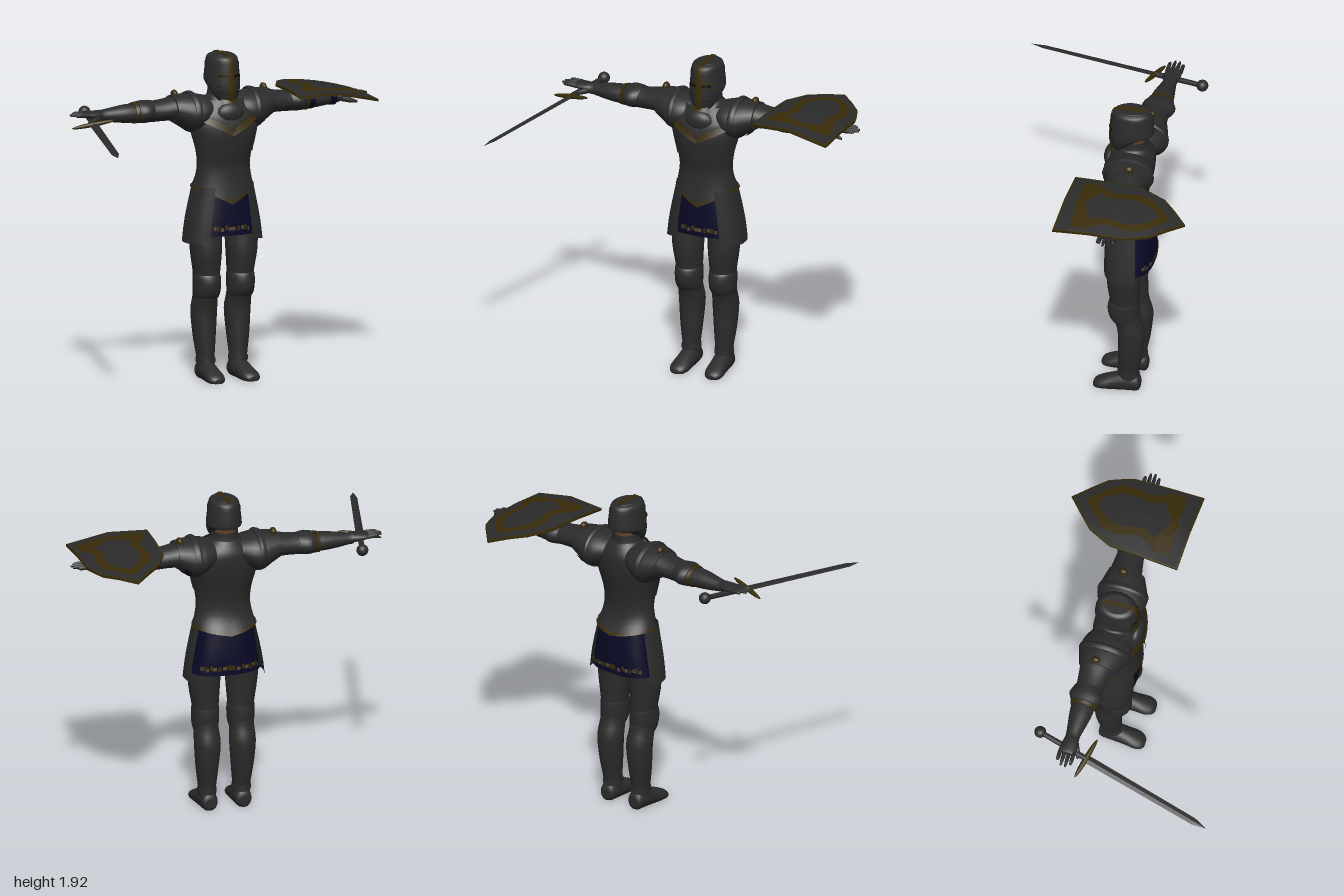
import * as THREE from 'three';

const paint = (name, color) => {
  const m = new THREE.MeshStandardMaterial({ color, side: THREE.DoubleSide });
  m.name = name;
  return m;
};
const steel = paint('dark steel', 0x2b2b2b);
const gold = paint('dark gold', 0x382b07);
const navy = paint('navy cloth', 0x080826);
const skin = paint('skin', 0x5c3f2a);
const black = paint('black', 0x0b0b0b);
const tan = paint('tan embroidery', 0x58462f);

const add = (parent, name, geo, mat) => {
  const m = new THREE.Mesh(geo, mat);
  m.name = name;
  parent.add(m);
  return m;
};
const mirror = (geo) => {
  const g = geo.clone().scale(-1, 1, 1), ix = g.index.array;
  for (let i = 0; i < ix.length; i += 3) [ix[i], ix[i + 1]] = [ix[i + 1], ix[i]];
  return g;
};
const pair = (parent, name, geo, mat) => {
  add(parent, name + 'Left', geo, mat);
  add(parent, name + 'Right', mirror(geo), mat);
};
const clamp = THREE.MathUtils.clamp;

const catmull = (a, b, c, d, t) =>
  0.5 * (2 * b + (c - a) * t + (2 * a - 5 * b + 4 * c - d) * t * t + (3 * b - a - 3 * c + d) * t * t * t);

// Skin of elliptical sections [t, c1, c2, r1, r2] along an axis.
// (c1, c2) run along (x, z) for axis y, (z, y) for axis x and (y, x) for axis z.
function loft(secs, { axis = 'y', n = 24, p = 2, arc = null, steps = 3, cap = !arc, warp = null } = {}) {
  const rows = [];
  secs.forEach((s, i) => {
    if (i === secs.length - 1) return rows.push(s);
    const a = secs[Math.max(i - 1, 0)], c = secs[i + 1], d = secs[Math.min(i + 2, secs.length - 1)];
    for (let k = 0; k < steps; k++) rows.push(s.map((b, j) => catmull(a[j], b, c[j], d[j], k / steps)));
  });
  const [a0, a1] = arc || [0, Math.PI * 2], cols = arc ? n + 1 : n;
  const pos = [], idx = [];
  const put = (t, u, v) => pos.push(...(axis === 'y' ? [u, t, v] : axis === 'x' ? [t, v, u] : [v, u, t]));
  const ring = ([t, c1, c2, r1, r2]) => {
    for (let j = 0; j < cols; j++) {
      const a = a0 + (a1 - a0) * j / n, c = Math.cos(a), s = Math.sin(a);
      put(t, c1 + r1 * Math.sign(c) * Math.abs(c) ** (2 / p), c2 + r2 * Math.sign(s) * Math.abs(s) ** (2 / p));
    }
  };
  rows.forEach(ring);
  for (let i = 0; i < rows.length - 1; i++) for (let j = 0; j < n; j++) {
    const k = (j + 1) % cols, A = i * cols + j, B = i * cols + k;
    idx.push(A, A + cols, B, B, A + cols, B + cols);
  }
  if (cap) [rows[0], rows[rows.length - 1]].forEach((r, e) => {
    const o = pos.length / 3;
    ring(r);
    put(r[0], r[1], r[2]);
    for (let j = 0; j < n; j++) {
      const A = o + j, B = o + (j + 1) % n;
      idx.push(o + n, ...(e ? [B, A] : [A, B]));
    }
  });
  const g = new THREE.BufferGeometry();
  g.setAttribute('position', new THREE.Float32BufferAttribute(pos, 3));
  g.setIndex(idx);
  if (warp) {
    const P = g.attributes.position;
    for (let i = 0; i < P.count; i++) P.setY(i, warp(P.getX(i), P.getY(i), P.getZ(i)));
  }
  g.computeVertexNormals();
  return g;
}

// Thin piece lying just over part of a lofted surface, between heights y0 and y1
function patch(secs, y0, y1, a0, a1, grow, opt = {}) {
  const at = (y) => {
    let i = 0;
    while (i < secs.length - 2 && secs[i + 1][0] < y) i++;
    const k = (y - secs[i][0]) / (secs[i + 1][0] - secs[i][0]);
    return secs[i].map((v, j) => v + (secs[i + 1][j] - v) * k);
  };
  const mid = secs.filter((s) => s[0] > y0 + 0.005 && s[0] < y1 - 0.005);
  const rows = [at(y0), ...mid, at(y1)].map(([y, x, z, rx, rz]) => [y, x, z, rx + grow, rz + grow]);
  return loft(rows, { arc: [a0, a1], n: 16, steps: 2, ...opt });
}

function makeTorso(body) {
  const T = [[1.14, 0, -0.19, 0.188, 0.15], [1.2, 0, -0.175, 0.172, 0.12], [1.27, 0, -0.17, 0.162, 0.11],
    [1.36, 0, -0.165, 0.172, 0.125], [1.45, 0, -0.172, 0.195, 0.14], [1.53, 0, -0.183, 0.21, 0.14],
    [1.6, 0, -0.195, 0.18, 0.128], [1.65, 0, -0.2, 0.12, 0.1], [1.68, 0, -0.2, 0.085, 0.08]];
  // Pointed lower edge of the cuirass
  const waist = (x, y, z) => y - (z > -0.19 ? 0.09 : 0.03) * clamp(1 - Math.abs(x) / 0.18, 0, 1) * clamp((1.25 - y) / 0.11, 0, 1);
  add(body, 'cuirass', loft(T, { n: 40, cap: false, warp: waist }), steel);
  add(body, 'waistTrim', patch(T, 1.137, 1.151, 0, Math.PI * 2, 0.004, { n: 40, warp: waist }), gold);
  add(body, 'breastplate', patch(T, 1.33, 1.6, 0.1, Math.PI - 0.1, 0.008, {
    warp: (x, y) => y + 0.06 * clamp(1 - Math.abs(x) / 0.2, 0, 1) * clamp((1.6 - y) / 0.26, 0, 1) }), steel);
  // V-shaped collar
  const vee = (x, y) => y - 0.085 * clamp(1 - Math.abs(x) / 0.17, 0, 1) * clamp((1.66 - y) / 0.1, 0, 1);
  add(body, 'collarTrim', patch(T, 1.54, 1.58, 0.35, Math.PI - 0.35, 0.03, { n: 24, warp: vee }), gold);
  add(body, 'collarPlate', patch(T, 1.575, 1.66, 0.2, Math.PI - 0.2, 0.03, { n: 24, warp: vee }), steel);
  add(body, 'throatPlate', new THREE.SphereGeometry(1, 20, 14).scale(0.088, 0.062, 0.045).translate(0, 1.583, -0.07), steel);
  add(body, 'neckTrim', loft([[1.635, 0, -0.18, 0.1, 0.125], [1.665, 0, -0.18, 0.08, 0.11]], { arc: [0.95, Math.PI - 0.95] }), gold);
  add(body, 'neckGuard', loft([[1.64, 0, -0.2, 0.105, 0.095], [1.68, 0, -0.2, 0.085, 0.083], [1.725, 0, -0.2, 0.078, 0.08]], { cap: false }), steel);
  add(body, 'neck', loft([[1.62, 0, -0.2, 0.068, 0.072], [1.8, 0, -0.2, 0.062, 0.07]]), skin);

  // Cloth skirt with an embroidered hem
  const p = 2.6;
  const S = [[0.86, 0, -0.19, 0.21, 0.138], [0.98, 0, -0.19, 0.19, 0.138], [1.15, 0, -0.185, 0.165, 0.125]];
  add(body, 'skirt', loft(S, { n: 40, p, cap: false }), navy);
  for (const [from, to, count] of [[1.08, 2.06, 9], [3.75, 5.67, 15]]) {
    for (let i = 0; i < count; i++) {
      const a = from + (to - from) * i / count, w = (to - from) / count * (i % 3 === 1 ? 0.95 : 0.7);
      const y = 0.887 + 0.004 * (i % 3);
      add(body, 'hemPattern', patch(S, y, y + (i % 2 ? 0.03 : 0.022), a, a + w, 0.004, { n: 3, p }), i % 2 ? gold : tan);
    }
  }
  pair(body, 'tasset', loft([[0.825, 0, -0.185, 0.24, 0.146], [0.95, 0, -0.185, 0.222, 0.146], [1.15, 0, -0.18, 0.178, 0.136]],
    { p, arc: [-0.4, 1.08], warp: (x, y) => y - 0.25 * (x - 0.2) * clamp((1.1 - y) / 0.3, 0, 1) }), steel);
}

function makeHelmet(body) {
  const H = [[1.65, 0, -0.165, 0.062, 0.095], [1.7, 0, -0.178, 0.092, 0.118], [1.76, 0, -0.19, 0.102, 0.13],
    [1.87, 0, -0.19, 0.091, 0.121], [1.905, 0, -0.19, 0.082, 0.108], [1.918, 0, -0.19, 0.058, 0.078]];
  const q = Math.PI / 2;
  // The rear edge rises to bare the nape
  const nape = (x, y, z) => y + Math.max(0, 1.77 - y) * 0.75 * clamp((-0.12 - z) / 0.12, 0, 1);
  add(body, 'helmet', loft(H, { n: 32, cap: false, warp: nape }), steel);
  add(body, 'helmetCrown', loft([[1.905, 0, -0.19, 0.07, 0.09], [1.919, 0, -0.19, 0.06, 0.08]], { steps: 1 }), steel);
  add(body, 'browRim', patch(H, 1.855, 1.872, 0, Math.PI * 2, 0.003, { n: 32 }), steel);
  add(body, 'faceStripe', patch(H, 1.655, 1.915, q - 0.2, q + 0.2, 0.006, { n: 6 }), gold);
  add(body, 'crownStripe', new THREE.BoxGeometry(0.026, 0.006, 0.17).translate(0, 1.92, -0.19), gold);
  add(body, 'browBar', patch(H, 1.785, 1.82, q - 0.72, q + 0.72, 0.005), gold);
  pair(body, 'eyeSlit', patch(H, 1.794, 1.811, q - 0.68, q - 0.18, 0.009, { n: 6 }), black);
  for (let i = 0; i < 6; i++) {
    const a = q - 0.36 - 0.18 * (i % 3), y = 1.705 + 0.03 * Math.floor(i / 3);
    pair(body, 'breath', patch(H, y, y + 0.008, a, a + 0.05, 0.005, { n: 2 }), black);
  }
}

function makeArms(body) {
  const x = { axis: 'x' };
  pair(body, 'pauldron', loft([[0.08, -0.2, 1.6, 0.115, 0.07], [0.14, -0.205, 1.585, 0.145, 0.1], [0.2, -0.21, 1.578, 0.148, 0.115],
    [0.26, -0.215, 1.595, 0.128, 0.096], [0.31, -0.22, 1.608, 0.108, 0.078]], x), steel);
  pair(body, 'pauldronRidge', loft([[0.175, -0.21, 1.58, 0.15, 0.117], [0.19, -0.21, 1.585, 0.154, 0.122], [0.215, -0.21, 1.585, 0.148, 0.115]], x), steel);
  pair(body, 'pauldronStud', new THREE.SphereGeometry(1, 14, 10).scale(0.02, 0.024, 0.028).translate(0.285, 1.692, -0.235), gold);
  add(body, 'underarmStrap', loft([[0.235, -0.213, 1.585, 0.14, 0.112], [0.275, -0.217, 1.598, 0.127, 0.098]], { axis: 'x', arc: [3.7, 5.0] }), navy);
  pair(body, 'upperArm', loft([[0.28, -0.225, 1.61, 0.1, 0.074], [0.36, -0.228, 1.604, 0.088, 0.064], [0.42, -0.23, 1.6, 0.08, 0.062],
    [0.5, -0.232, 1.6, 0.074, 0.06]], x), steel);
  pair(body, 'elbowGuard', loft([[0.43, -0.235, 1.602, 0.078, 0.062], [0.485, -0.235, 1.602, 0.1, 0.066], [0.53, -0.235, 1.6, 0.08, 0.062]], x), steel);
  pair(body, 'elbowTrim', loft([[0.535, -0.235, 1.6, 0.08, 0.063], [0.555, -0.235, 1.598, 0.075, 0.061]], x), gold);
  pair(body, 'forearm', loft([[0.52, -0.235, 1.598, 0.07, 0.056], [0.6, -0.235, 1.598, 0.066, 0.054], [0.68, -0.238, 1.597, 0.052, 0.044],
    [0.74, -0.24, 1.597, 0.042, 0.034], [0.765, -0.24, 1.598, 0.044, 0.034]], x), steel);
  pair(body, 'hand', loft([[0.75, -0.24, 1.6, 0.036, 0.028], [0.79, -0.241, 1.603, 0.048, 0.027], [0.84, -0.243, 1.607, 0.05, 0.02],
    [0.86, -0.244, 1.608, 0.044, 0.014]], x), steel);
  for (let i = 0; i < 4; i++) {
    const z = -0.284 + i * 0.027, end = [0.915, 0.94, 0.945, 0.925][i];
    pair(body, 'finger', loft([[0.84, z, 1.609, 0.012, 0.013], [0.9, z, 1.612, 0.011, 0.012], [end, z, 1.61, 0.006, 0.006]], { axis: 'x', n: 8 }), steel);
  }
  pair(body, 'thumb', loft([[0.77, -0.215, 1.59, 0.018, 0.018], [0.82, -0.19, 1.578, 0.015, 0.015], [0.86, -0.178, 1.57, 0.007, 0.007]], { axis: 'x', n: 8 }), steel);
  for (const [at, r, h] of [[0.553, 0.08, 0.061], [0.7, 0.056, 0.05]])
    add(body, 'shieldStrap', loft([[at, -0.235, 1.602, r, h], [at + 0.035, -0.235, 1.602, r, h]], x), navy);
}

function makeLegs(body) {
  pair(body, 'leg', loft([[0.06, 0.102, -0.192, 0.052, 0.066], [0.13, 0.104, -0.193, 0.052, 0.061], [0.25, 0.107, -0.203, 0.066, 0.073],
    [0.4, 0.107, -0.21, 0.078, 0.08], [0.49, 0.108, -0.188, 0.073, 0.079], [0.56, 0.108, -0.173, 0.074, 0.085],
    [0.63, 0.108, -0.17, 0.078, 0.087], [0.75, 0.113, -0.165, 0.092, 0.097], [0.86, 0.113, -0.17, 0.099, 0.094],
    [0.95, 0.1, -0.175, 0.095, 0.092], [1.08, 0.08, -0.18, 0.075, 0.085]]), steel);
  pair(body, 'kneeGuard', loft([[0.485, 0.108, -0.175, 0.072, 0.074], [0.52, 0.108, -0.168, 0.079, 0.09], [0.57, 0.108, -0.165, 0.081, 0.096],
    [0.61, 0.108, -0.167, 0.081, 0.092], [0.625, 0.108, -0.17, 0.078, 0.087]]), steel);
  pair(body, 'ankleRim', loft([[0.1, 0.104, -0.192, 0.056, 0.066], [0.125, 0.104, -0.192, 0.056, 0.065]]), steel);
  pair(body, 'shoe', loft([[-0.262, 0.042, 0.103, 0.03, 0.03], [-0.245, 0.048, 0.103, 0.055, 0.048], [-0.18, 0.052, 0.104, 0.064, 0.055],
    [-0.1, 0.038, 0.107, 0.052, 0.055], [-0.04, 0.026, 0.11, 0.038, 0.058], [0, 0.018, 0.112, 0.026, 0.045], [0.015, 0.014, 0.112, 0.012, 0.022]],
    { axis: 'z', warp: (x, y) => Math.max(0, y) }), steel);
}

function makeShield() {
  const shield = new THREE.Group();
  shield.name = 'shield';
  // Matching outlines in x and z, from the tip around
  const rim = [[0.72, -0.66], [0.81, -0.56], [0.88, -0.48], [0.91, -0.4], [0.93, -0.33], [0.93, -0.13], [0.93, 0.085],
    [0.68, 0.07], [0.445, 0.06], [0.46, -0.155], [0.475, -0.36], [0.545, -0.5], [0.63, -0.58]];
  const bandOut = [[0.72, -0.57], [0.79, -0.5], [0.835, -0.45], [0.865, -0.4], [0.87, -0.34], [0.85, -0.2], [0.9, -0.09],
    [0.7, 0], [0.51, -0.09], [0.58, -0.2], [0.555, -0.34], [0.57, -0.43], [0.64, -0.5]];
  const bandIn = [[0.72, -0.5], [0.775, -0.455], [0.8, -0.41], [0.815, -0.37], [0.82, -0.32], [0.8, -0.19], [0.83, -0.12],
    [0.71, -0.055], [0.59, -0.12], [0.635, -0.19], [0.61, -0.315], [0.62, -0.39], [0.66, -0.455]];
  // Square lower corners of the inlay
  const corners = [[[0.51, -0.09], [0.51, -0.01], [0.65, -0.01], [0.59, -0.1]], [[0.9, -0.09], [0.82, -0.1], [0.74, -0.01], [0.9, -0.01]]];
  const mid = [0.72, -0.25];
  const toward = (loop, k) => loop.map(([x, z]) => [x + (mid[0] - x) * k, z + (mid[1] - z) * k]);
  const height = (x, z) => 1.69 - 0.5 * (x - 0.6) ** 2 - 0.18 * (z + 0.15) ** 2;
  const band = (name, A, B, dropA, dropB, mat) => {
    const pos = [], idx = [], n = A.length;
    A.forEach(([x, z]) => pos.push(x, height(x, z) - dropA, z));
    B.forEach(([x, z]) => pos.push(x, height(x, z) - dropB, z));
    for (let i = 0; i < n; i++) {
      const j = (i + 1) % n;
      idx.push(i, n + i, j, j, n + i, n + j);
    }
    const g = new THREE.BufferGeometry();
    g.setAttribute('position', new THREE.Float32BufferAttribute(pos, 3));
    g.setIndex(idx);
    g.computeVertexNormals();
    add(shield, name, g, mat);
  };
  const inset = toward(rim, 0.035), centre = toward(rim, 1), half = toward(rim, 0.5);
  band('shieldRim', rim, inset, 0, 0, gold);
  band('shieldField', inset, bandOut, 0, 0, steel);
  band('shieldBand', bandOut, bandIn, 0, 0, gold);
  for (const c of corners) band('shieldCorner', c, c.map(() => c[3]), -0.003, -0.003, gold);
  band('shieldCentre', bandIn, centre, 0, 0, steel);
  band('shieldEdge', rim, rim, 0.014, 0, gold);
  band('shieldBack', centre, half, 0.014, 0.014, steel);
  band('shieldBackOuter', half, rim, 0.014, 0.014, steel);
  return shield;
}

function makeSword() {
  const sword = new THREE.Group();
  sword.name = 'sword';
  const along = new THREE.Vector3(-0.279, -0.072, 1.085).normalize();
  const side = new THREE.Vector3(0.25, 0.045, 0.065);
  side.addScaledVector(along, -side.dot(along)).normalize();
  sword.quaternion.setFromRotationMatrix(new THREE.Matrix4().makeBasis(side, along, side.clone().cross(along)));
  sword.position.set(-0.716, 1.59, -0.43);
  const blade = loft([[0.3, 0, 0, 0.025, 0.007], [1.04, 0, 0, 0.021, 0.005], [1.123, 0, 0, 0.001, 0.001]], { n: 4, steps: 1 }).toNonIndexed();
  blade.computeVertexNormals();
  add(sword, 'blade', blade, steel);
  add(sword, 'grip', new THREE.CylinderGeometry(0.017, 0.015, 0.3, 14).translate(0, 0.16, 0), steel);
  add(sword, 'pommel', new THREE.SphereGeometry(0.035, 18, 12), steel);
  add(sword, 'crossguard', new THREE.SphereGeometry(1, 18, 10).scale(0.13, 0.016, 0.014).translate(0, 0.31, 0), gold);
  return sword;
}

export function createModel() {
  const model = new THREE.Group();
  model.name = 'knight';
  const body = new THREE.Group();
  body.name = 'body';
  body.position.x = 0.054;
  makeTorso(body);
  makeHelmet(body);
  makeArms(body);
  makeLegs(body);
  model.add(body, makeShield(), makeSword());
  return model;
}
